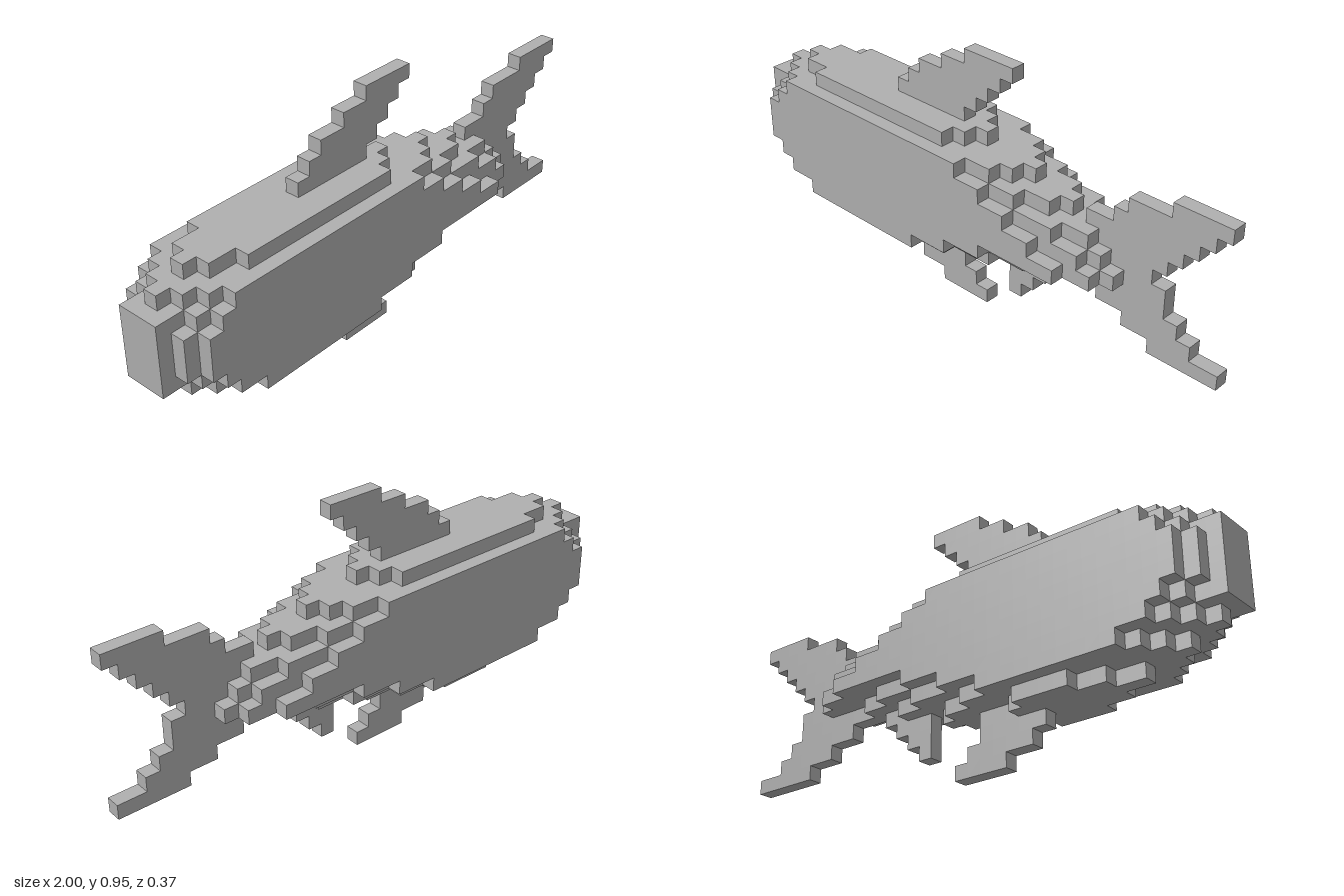
import * as THREE from 'three';

const V = 2 / 38; // block size

// Body layers by distance from the middle plane; each row is [y, xStart, xEnd] in blocks
const bodyLayers = [
  [[3, 6, 18], [4, 3, 21], [5, 1, 26], [6, 0, 29], [7, 0, 31], [8, 0, 30], [9, 0, 29], [10, 0, 27], [11, 1, 24], [12, 3, 20]],
  [[3, 8, 15], [4, 4, 20], [5, 2, 24], [6, 0, 27], [7, 0, 31], [8, 0, 30], [9, 0, 29], [10, 0, 26], [11, 2, 23], [12, 4, 19]],
  [[3, 10, 14], [4, 5, 18], [5, 3, 22], [6, 2, 25], [7, 1, 30], [8, 1, 29], [9, 1, 27], [10, 2, 24], [11, 3, 22], [12, 6, 18]],
  [[4, 6, 16], [5, 4, 19], [6, 3, 22], [7, 2, 28], [8, 2, 26], [9, 2, 24], [10, 3, 22], [11, 4, 20]],
];

// Fins are one block thick
const fins = {
  dorsalFin: [[13, 12, 18], [14, 13, 19], [15, 14, 20], [16, 16, 21], [17, 18, 22]],
  bellyFin: [[0, 16, 20], [1, 14, 19], [2, 13, 18]],
  analFin: [[2, 22, 23], [3, 22, 24], [4, 22, 25]],
  tailFin: [[3, 33, 38], [4, 31, 36], [5, 29, 35], [6, 29, 34], [7, 31, 34], [8, 30, 33],
    [9, 29, 34], [10, 28, 35], [11, 30, 36], [12, 31, 37], [13, 34, 38]],
};

const key = (x, y, z) => `${x},${y},${z}`;

function fillRows(cells, rows, z) {
  for (const [y, x0, x1] of rows)
    for (let x = x0; x < x1; x++) cells.push([x, y, z]);
}

// Emits only the block faces that have no neighbour
function blockGeometry(cells, filled) {
  const pos = [], nor = [], idx = [];
  for (const c of cells) {
    for (let axis = 0; axis < 3; axis++) {
      for (const side of [-1, 1]) {
        const n = [0, 0, 0];
        n[axis] = side;
        if (filled.has(key(c[0] + n[0], c[1] + n[1], c[2] + n[2]))) continue;
        const u = (axis + 1) % 3, w = (axis + 2) % 3, base = pos.length / 3;
        for (const [a, b] of [[-1, -1], [1, -1], [1, 1], [-1, 1]]) {
          const p = [c[0] + 0.5 - 19, c[1] + 0.5, c[2]];
          p[axis] += side / 2;
          p[u] += (a * side) / 2;
          p[w] += b / 2;
          pos.push(p[0] * V, p[1] * V, p[2] * V);
          nor.push(...n);
        }
        idx.push(base, base + 1, base + 2, base, base + 2, base + 3);
      }
    }
  }
  const g = new THREE.BufferGeometry();
  g.setAttribute('position', new THREE.Float32BufferAttribute(pos, 3));
  g.setAttribute('normal', new THREE.Float32BufferAttribute(nor, 3));
  g.setIndex(idx);
  return g;
}

export function createModel() {
  const group = new THREE.Group();
  group.name = 'blockFish';
  const grey = new THREE.MeshStandardMaterial({ color: 0xb0b0b0 });
  grey.name = 'grey';

  // Body, mirrored about the middle plane
  const parts = { body: [] };
  bodyLayers.forEach((rows, k) => {
    fillRows(parts.body, rows, k);
    if (k > 0) fillRows(parts.body, rows, -k);
  });
  // Fins on the middle plane
  for (const [name, rows] of Object.entries(fins)) fillRows(parts[name] = [], rows, 0);

  const filled = new Set(Object.values(parts).flat().map((c) => key(...c)));
  for (const [name, cells] of Object.entries(parts)) {
    const mesh = new THREE.Mesh(blockGeometry(cells, filled), grey);
    mesh.name = name;
    group.add(mesh);
  }
  return group;
}
